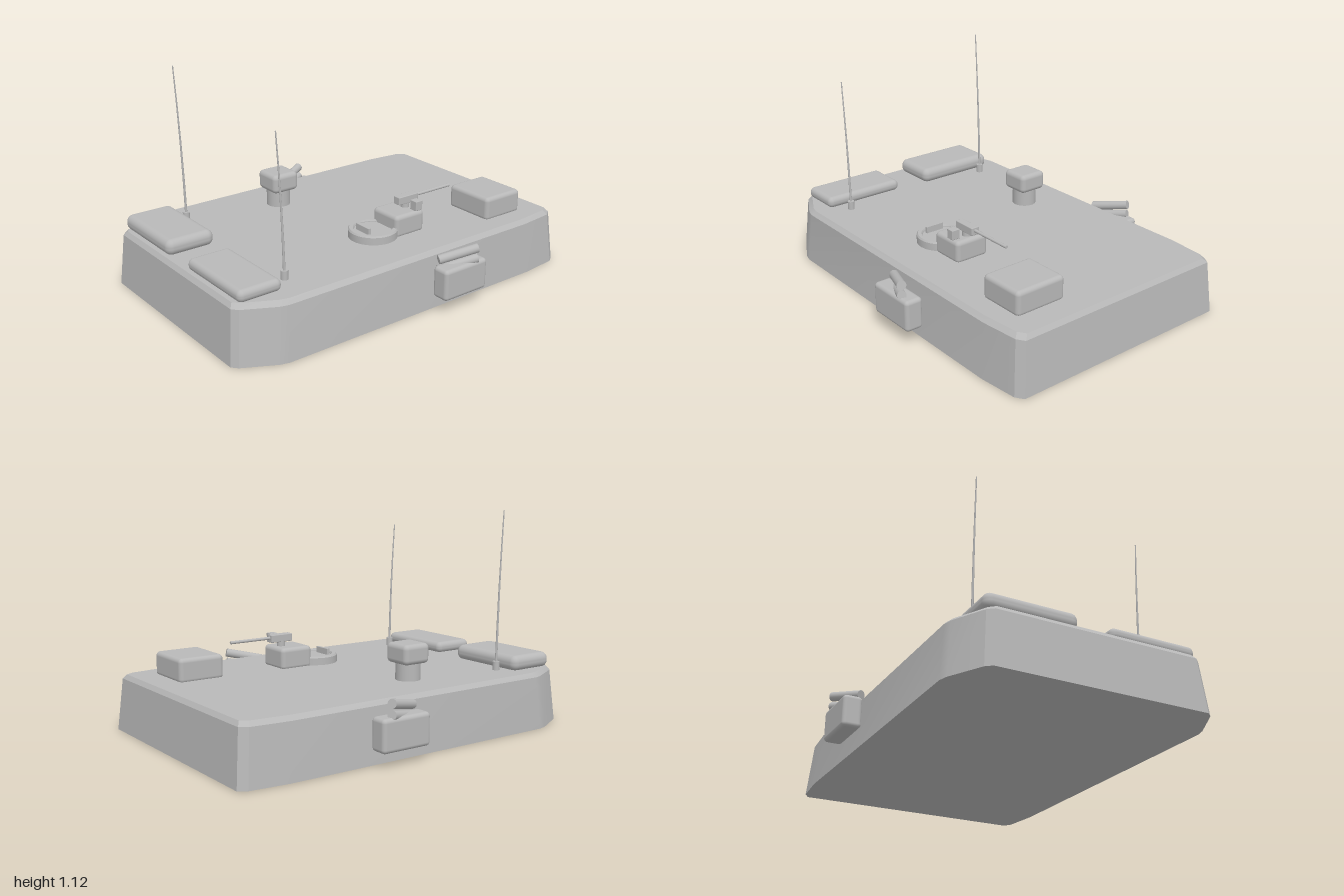
import * as THREE from 'three';
import { toCreasedNormals } from 'three/addons/utils/BufferGeometryUtils.js';
import { RoundedBoxGeometry } from 'three/addons/geometries/RoundedBoxGeometry.js';

const grey = new THREE.MeshStandardMaterial({ color: 0xb8b8b8 });
grey.name = 'plain grey';

function add(parent, name, geometry, x = 0, y = 0, z = 0) {
  const mesh = new THREE.Mesh(geometry, grey);
  mesh.name = name;
  mesh.position.set(x, y, z);
  parent.add(mesh);
  return mesh;
}

// Rounded box given by its limits on each axis
function block(parent, name, [x0, x1], [y0, y1], [z0, z1], radius) {
  const geometry = new RoundedBoxGeometry(x1 - x0, y1 - y0, z1 - z0, 4, radius);
  return add(parent, name, geometry, (x0 + x1) / 2, (y0 + y1) / 2, (z0 + z1) / 2);
}

// Cylinder from a to b, tapering from ra to rb
function rod(parent, name, a, b, ra, rb = ra, sides = 20) {
  const from = new THREE.Vector3(...a), to = new THREE.Vector3(...b);
  const dir = to.clone().sub(from);
  const mesh = add(parent, name, new THREE.CylinderGeometry(rb, ra, dir.length(), sides));
  mesh.position.copy(from).add(to).multiplyScalar(0.5);
  mesh.quaternion.setFromUnitVectors(new THREE.Vector3(0, 1, 0), dir.normalize());
  return mesh;
}

// Sloped hull: one outline, drawn in ring by ring towards the bevelled deck
function hullGeometry() {
  const half = [[0.53, 1], [0.56, 0.975], [0.645, 0.815], [0.657, 0.77],
    [0.657, -0.76], [0.637, -0.96], [0.61, -1]];
  const outline = [...half, ...half.map(([x, z]) => [-x, z]).reverse()];
  const levels = [[0, 0, 0], [0.268, 0.024, 0.024], [0.29, 0.045, 0.04]];
  const rings = levels.map(([y, inX, inZ]) =>
    outline.map(([x, z]) => [x * (1 - inX / 0.657), y, z * (1 - inZ)]));
  const points = [], n = outline.length;
  for (let r = 0; r < rings.length - 1; r++) {
    for (let i = 0; i < n; i++) {
      const j = (i + 1) % n;
      const a = rings[r][i], b = rings[r][j], c = rings[r + 1][j], d = rings[r + 1][i];
      points.push(...a, ...c, ...d, ...a, ...b, ...c);
    }
  }
  const deck = rings[rings.length - 1], floor = rings[0];
  for (let i = 0; i < n; i++) {
    const j = (i + 1) % n;
    points.push(0, 0.29, 0, ...deck[i], ...deck[j], 0, 0, 0, ...floor[j], ...floor[i]);
  }
  // The outline runs front to back on +x, so turn every triangle outwards
  const out = [];
  for (let t = 0; t < points.length; t += 9) {
    const [a, b, c] = [0, 3, 6].map(k => new THREE.Vector3(...points.slice(t + k, t + k + 3)));
    const normal = b.clone().sub(a).cross(c.clone().sub(a));
    const centre = a.clone().add(b).add(c).divideScalar(3).sub(new THREE.Vector3(0, 0.145, 0));
    for (const v of normal.dot(centre) > 0 ? [a, b, c] : [a, c, b]) out.push(v.x, v.y, v.z);
  }
  const geometry = new THREE.BufferGeometry();
  geometry.setAttribute('position', new THREE.Float32BufferAttribute(out, 3));
  return toCreasedNormals(geometry, 0.3);
}

export function createModel() {
  const model = new THREE.Group();
  model.name = 'armouredHull';
  add(model, 'hull', hullGeometry());

  // Stowage on the deck
  block(model, 'frontPackRight', [-0.54, -0.085], [0.285, 0.366], [0.69, 0.95], 0.036);
  block(model, 'frontPackLeft', [0.08, 0.535], [0.285, 0.346], [0.715, 0.945], 0.028);
  block(model, 'rearStowageBox', [0.23, 0.51], [0.28, 0.406], [-0.83, -0.585], 0.022);

  // Sight head on a round pedestal
  const sight = new THREE.Group();
  sight.name = 'sightStation';
  rod(sight, 'sightPedestal', [-0.355, 0.28, 0.13], [-0.355, 0.385, 0.13], 0.063, 0.063, 32);
  block(sight, 'sightHead', [-0.435, -0.275], [0.375, 0.477], [0.05, 0.207], 0.025);
  model.add(sight);

  // Hatch: raised ring, lid and handle
  const hatch = new THREE.Group();
  hatch.name = 'hatch';
  hatch.position.set(0.303, 0, 0.01);
  const ringProfile = [[0.095, 0.28], [0.125, 0.28], [0.125, 0.328], [0.119, 0.336],
    [0.1, 0.336], [0.095, 0.328], [0.095, 0.28]].map(p => new THREE.Vector2(...p));
  add(hatch, 'hatchRing', toCreasedNormals(new THREE.LatheGeometry(ringProfile, 40), 0.5));
  rod(hatch, 'hatchLid', [0, 0.28, 0], [0, 0.325, 0], 0.096, 0.096, 40);
  add(hatch, 'hatchHandle', new THREE.BoxGeometry(0.1, 0.035, 0.016), 0, 0.34, 0.06);
  model.add(hatch);

  // Remote gun mount
  const mount = new THREE.Group();
  mount.name = 'gunMount';
  block(mount, 'mountBase', [0.21, 0.397], [0.28, 0.397], [-0.25, -0.065], 0.022);
  rod(mount, 'gunPost', [0.303, 0.38, -0.2], [0.303, 0.43, -0.2], 0.022);
  block(mount, 'gunBody', [0.283, 0.325], [0.42, 0.461], [-0.27, -0.142], 0.004);
  rod(mount, 'gunBarrel', [0.303, 0.444, -0.26], [0.303, 0.444, -0.505], 0.008);
  block(mount, 'gunSight', [0.363, 0.408], [0.405, 0.455], [-0.225, -0.182], 0.003);
  model.add(mount);

  // Side box and angled launcher tubes on each flank
  for (const s of [1, -1]) {
    const flank = new THREE.Group();
    flank.name = s > 0 ? 'leftLauncher' : 'rightLauncher';
    const box = block(flank, 'launcherBox', [0.668, 0.764], [0.075, 0.236], [-0.34, -0.065], 0.02);
    box.position.x *= s;
    rod(flank, 'upperTube', [s * 0.668, 0.258, -0.1], [s * 0.748, 0.3, -0.283], 0.023);
    rod(flank, 'lowerTube', [s * 0.668, 0.205, -0.1], [s * 0.748, 0.247, -0.283], 0.023);
    model.add(flank);
  }

  // Tapering whip aerials that bend forward
  for (const [name, x, top] of [['rightAerial', -0.449, 1.115], ['leftAerial', 0.444, 1]]) {
    const aerial = new THREE.Group();
    aerial.name = name;
    rod(aerial, 'aerialBase', [x, 0.28, 0.646], [x, 0.335, 0.646], 0.018);
    const steps = 4, at = t => [x, 0.32 + (top - 0.32) * t, 0.646 + 0.013 * t + 0.019 * t * t];
    const radius = t => 0.0065 - 0.0035 * t;
    for (let i = 0; i < steps; i++) {
      const a = i / steps, b = (i + 1) / steps;
      rod(aerial, 'aerialWhip', at(a), at(b), radius(a), radius(b), 10);
    }
    model.add(aerial);
  }
  return model;
}
